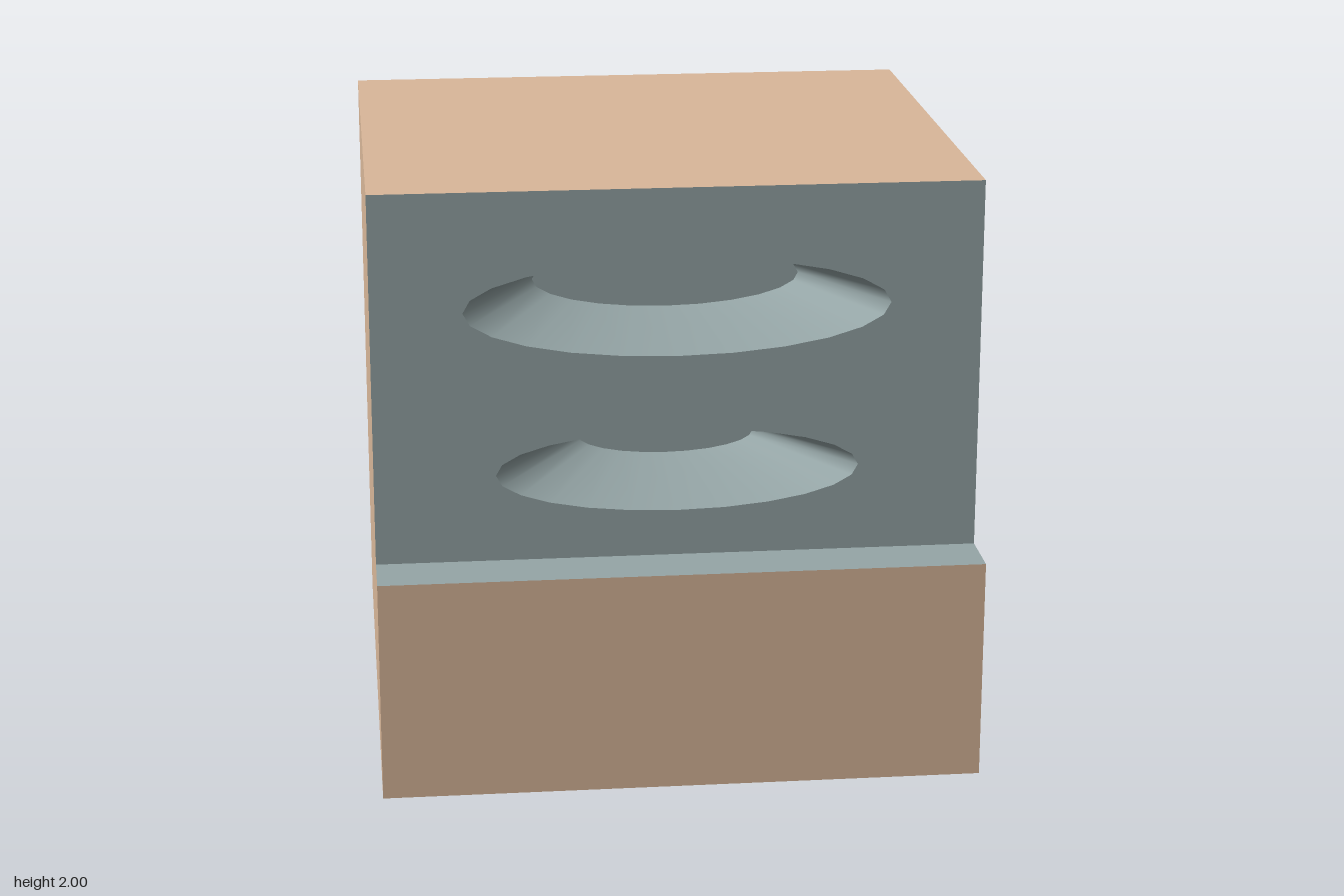
import * as THREE from 'three';

const TAN = new THREE.MeshStandardMaterial({ color: 0xd9b799 });
const TEAL = new THREE.MeshStandardMaterial({ color: 0x95a5a6 });
const SEGMENTS = 24, ASPECT = 7 / 30, BOWL_DEPTH = 0.4;
const FRONT = 0.8, LEDGE = 0.75;

// Turn a geometry inside out so it shows from within
function insideOut(geometry) {
  geometry.setIndex(Array.from(geometry.index.array).reverse());
  const n = geometry.attributes.normal;
  for (let i = 0; i < n.count; i++) n.setXYZ(i, -n.getX(i), -n.getY(i), -n.getZ(i));
  return geometry;
}

// Closed outline from corner pairs
const points = (pairs) => pairs.map(([x, y]) => new THREE.Vector2(x, y));
const rectangle = (x0, y0, x1, y1) => points([[x0, y0], [x1, y0], [x1, y1], [x0, y1]]);

function ellipse(radius, y) {
  return Array.from({ length: SEGMENTS }, (_, i) => {
    const a = (i / SEGMENTS) * Math.PI * 2;
    return new THREE.Vector2(radius * Math.cos(a), y + radius * ASPECT * Math.sin(a));
  });
}

function face(outline, holes = []) {
  const shape = new THREE.Shape(outline);
  shape.holes = holes.map((h) => new THREE.Path(h));
  return new THREE.ShapeGeometry(shape);
}

export function createModel() {
  const model = new THREE.Group();
  const add = (name, geometry, material) => {
    const mesh = new THREE.Mesh(geometry, material);
    mesh.name = name;
    model.add(mesh);
  };

  // Stepped side walls
  for (const s of [-1, 1]) {
    const profile = points([[-1, 0], [1, 0], [1, LEDGE], [FRONT, LEDGE], [FRONT, 2], [-1, 2]]
      .map(([z, y]) => [-s * z, y]));
    add(s > 0 ? 'leftWall' : 'rightWall',
      face(profile).rotateY(s * Math.PI / 2).translate(s, 0, 0), TAN);
  }

  // Top, ledge, underside and lower front
  add('top', new THREE.PlaneGeometry(2, 1 + FRONT).rotateX(-Math.PI / 2)
    .translate(0, 2, (FRONT - 1) / 2), TAN);
  add('ledge', new THREE.PlaneGeometry(2, 1 - FRONT).rotateX(-Math.PI / 2)
    .translate(0, LEDGE, (FRONT + 1) / 2), TEAL);
  add('underside', new THREE.PlaneGeometry(2, 2).rotateX(Math.PI / 2), TEAL);
  add('lowerFront', face(rectangle(-1, 0, 1, LEDGE)).translate(0, 0, 1), TAN);

  // Front panel with two tapered oval hollows
  const hollows = [
    { name: 'upperHollow', y: 1.6, outer: 0.7, inner: 0.45 },
    { name: 'lowerHollow', y: 1.045, outer: 0.6, inner: 0.3 },
  ];
  add('frontPanel', face(rectangle(-1, LEDGE, 1, 2), hollows.map((h) => ellipse(h.outer, h.y)))
    .translate(0, 0, FRONT), TEAL);
  for (const { name, y, outer, inner } of hollows) {
    const wall = new THREE.CylinderGeometry(outer, inner, BOWL_DEPTH, SEGMENTS, 1, true)
      .rotateX(Math.PI / 2).scale(1, ASPECT, 1).translate(0, y, FRONT - BOWL_DEPTH / 2);
    add(name + 'Wall', insideOut(wall), TEAL);
    add(name + 'Floor', face(ellipse(inner, y)).translate(0, 0, FRONT - BOWL_DEPTH), TEAL);
  }

  // Back wall with a rectangular recess
  const [x, y0, y1, depth] = [0.4, 0.135, 0.57, 0.2];
  add('backWall', face(rectangle(-1, 0, 1, 2), [rectangle(-x, y0, x, y1)])
    .rotateY(Math.PI).translate(0, 0, -1), TAN);
  const recess = new THREE.BoxGeometry(2 * x, y1 - y0, depth);
  recess.setIndex(Array.from(recess.index.array).slice(0, 30)); // leave the back open
  recess.clearGroups();
  add('backRecess', insideOut(recess).translate(0, (y0 + y1) / 2, depth / 2 - 1), TEAL);

  return model;
}
